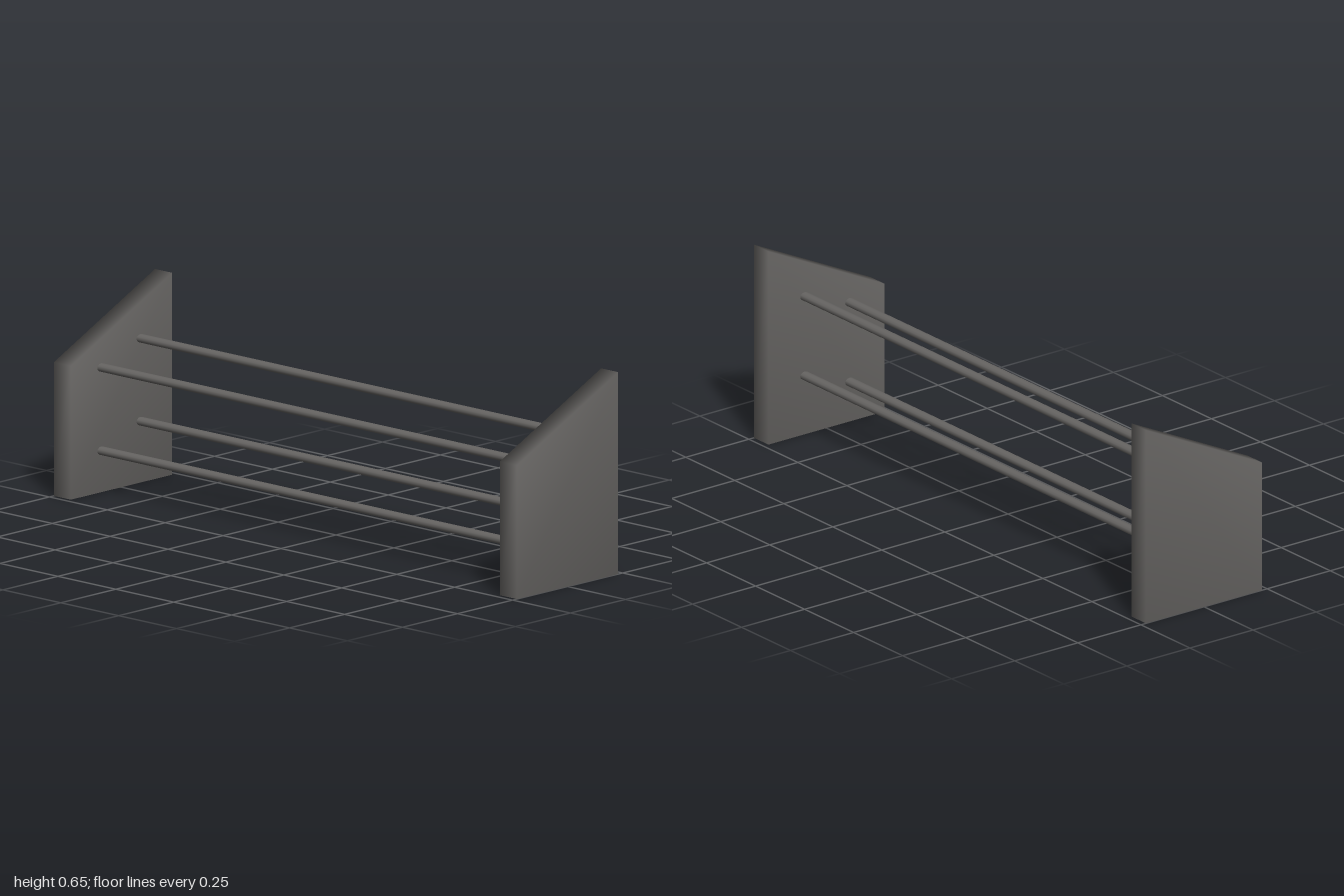
import * as THREE from 'three';
import { mergeVertices } from 'three/addons/utils/BufferGeometryUtils.js';

export function createModel() {
  const model = new THREE.Group();
  model.name = 'rodRack';
  const metal = new THREE.MeshStandardMaterial({ color: 0x666462 });
  metal.name = 'dark grey metal';

  // Side panel profile, drawn with the front edge at -x so it turns to +z
  const profile = new THREE.Shape([
    new THREE.Vector2(-0.23, 0),
    new THREE.Vector2(0.23, 0),
    new THREE.Vector2(0.23, 0.65),
    new THREE.Vector2(-0.23, 0.43),
  ]);
  const thickness = 0.074;
  let panel = new THREE.ExtrudeGeometry(profile, { depth: thickness, bevelEnabled: false });
  panel.translate(0, 0, -thickness / 2).rotateY(Math.PI / 2);

  // Share the corners so the panel shades softly across its edges
  panel.deleteAttribute('normal');
  panel.deleteAttribute('uv');
  panel = mergeVertices(panel, 1e-4);
  panel.computeVertexNormals();

  for (const [name, side] of [['leftPanel', 1], ['rightPanel', -1]]) {
    const mesh = new THREE.Mesh(panel, metal);
    mesh.name = name;
    mesh.position.x = side * (1 - thickness / 2);
    model.add(mesh);
  }

  // Slightly flattened rods, two per shelf, the back one higher
  const rod = new THREE.CylinderGeometry(0.018, 0.018, 1.88, 12);
  rod.rotateZ(Math.PI / 2).scale(1, 0.75, 1);
  const rods = [
    ['upperBackRod', 0.465, -0.086],
    ['upperFrontRod', 0.402, 0.092],
    ['lowerBackRod', 0.198, -0.086],
    ['lowerFrontRod', 0.134, 0.092],
  ];
  for (const [name, y, z] of rods) {
    const mesh = new THREE.Mesh(rod, metal);
    mesh.name = name;
    mesh.position.set(0, y, z);
    model.add(mesh);
  }
  return model;
}
